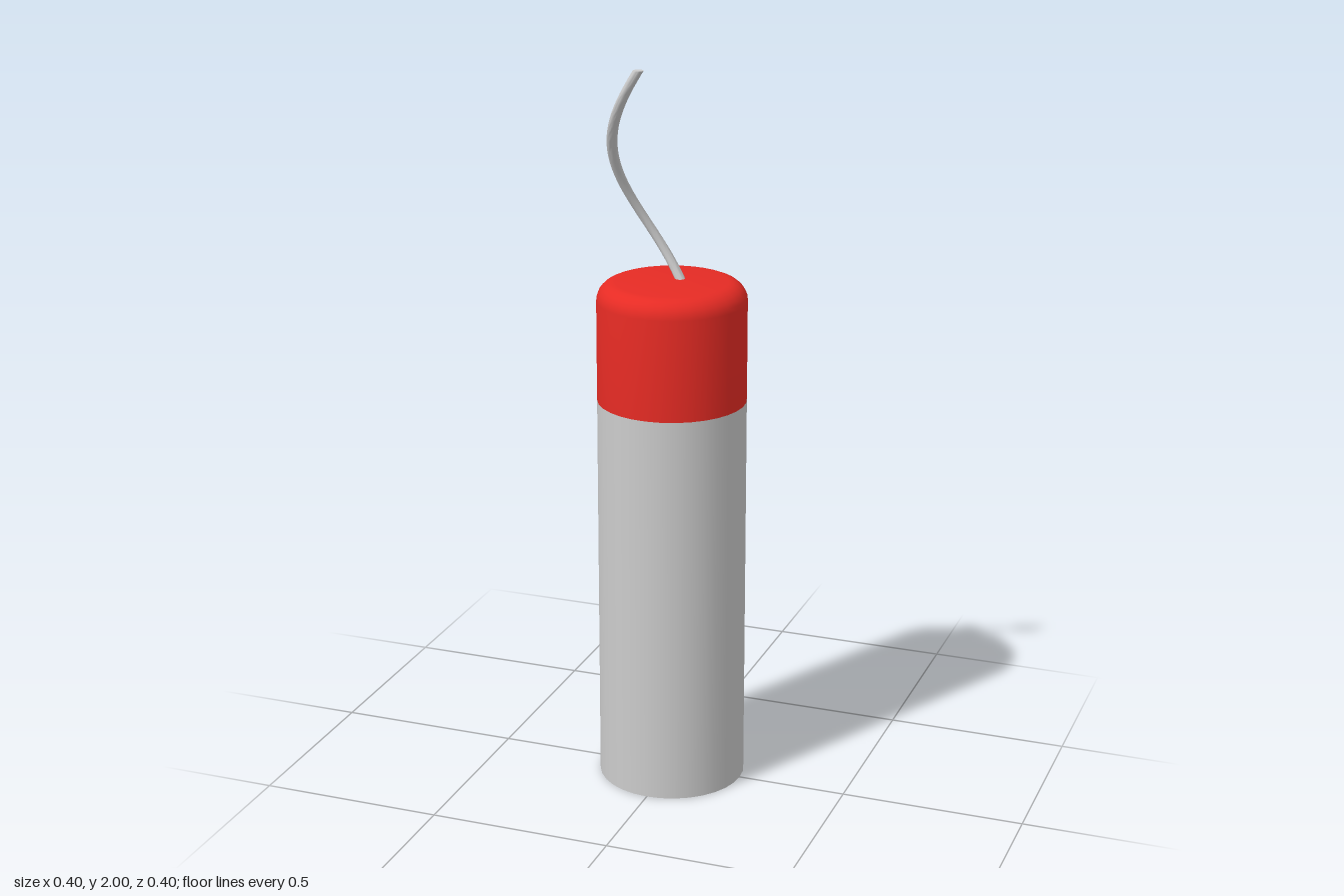
import * as THREE from 'three';
import { toCreasedNormals } from 'three/addons/utils/BufferGeometryUtils.js';

const SIDES = 32;
const RADIUS = 0.2;
const SEAM = 1.085; // height where the cap meets the body
const TOP = 1.41;   // top of the cap

// Cap: straight skirt with a rounded upper rim
function capGeometry() {
  const bevel = 0.05;
  const points = [new THREE.Vector2(0, SEAM), new THREE.Vector2(RADIUS, SEAM)];
  for (let i = 0; i <= 6; i++) {
    const a = (i / 6) * Math.PI / 2;
    points.push(new THREE.Vector2(
      RADIUS - bevel + bevel * Math.cos(a),
      TOP - bevel + bevel * Math.sin(a)));
  }
  points.push(new THREE.Vector2(0, TOP));
  return toCreasedNormals(new THREE.LatheGeometry(points, SIDES), 0.7);
}

// Fuse: a thin cylinder whose level rings are shifted along a helix
function fuseGeometry() {
  const bottom = 1.38, height = 2 - bottom;
  const geometry = new THREE.CylinderGeometry(0.014, 0.014, height, 16, 40);
  geometry.translate(0, bottom + height / 2, 0);
  const pos = geometry.attributes.position;
  for (let i = 0; i < pos.count; i++) {
    const y = pos.getY(i);
    const turn = THREE.MathUtils.degToRad(180 - (2 - y) / 0.59 * 200);
    pos.setX(i, pos.getX(i) - 0.027 - 0.106 * Math.sin(turn));
    pos.setZ(i, pos.getZ(i) + 0.065 - 0.106 * Math.cos(turn));
  }
  return toCreasedNormals(geometry, 0.7);
}

export function createModel() {
  const grey = new THREE.MeshStandardMaterial({ color: 0xcccccc });
  const red = new THREE.MeshStandardMaterial({ color: 0xe62b24 });
  const group = new THREE.Group();
  group.name = 'firecracker';

  const add = (name, geometry, material) => {
    const mesh = new THREE.Mesh(geometry, material);
    mesh.name = name;
    group.add(mesh);
    return mesh;
  };

  const body = add('body', new THREE.CylinderGeometry(RADIUS, RADIUS, SEAM, SIDES), grey);
  body.position.y = SEAM / 2;
  add('cap', capGeometry(), red);
  add('fuse', fuseGeometry(), grey);
  return group;
}
